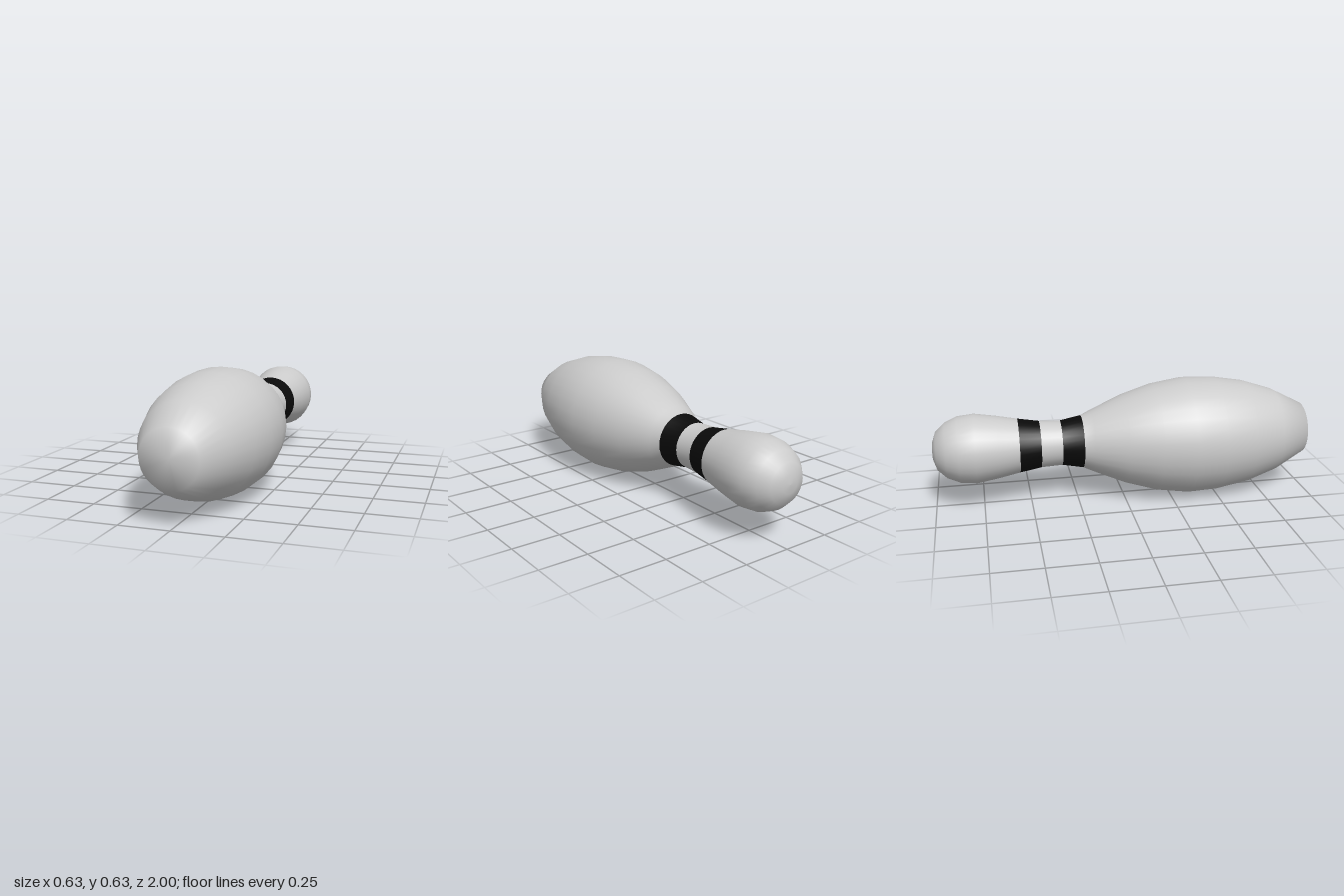
import * as THREE from 'three';

export function createModel() {
  const group = new THREE.Group();

  // Profile from base to head: [distance along axis, radius]
  const profile = [
    [-1, 0], [-1, 0.14], [-0.833, 0.226], [-0.667, 0.28], [-0.5, 0.308], [-0.34, 0.314],
    [-0.167, 0.288], [0, 0.237], [0.167, 0.165],
    [0.222, 0.139], [0.333, 0.118], [0.444, 0.123], [0.556, 0.142],
    [0.667, 0.164], [0.78, 0.182], [0.865, 0.173], [0.93, 0.145], [0.978, 0.1], [0.997, 0.045], [1, 0],
  ];
  const segments = 32;
  const lathe = new THREE.LatheGeometry(profile.map(([y, r]) => new THREE.Vector2(r, y)), segments);
  lathe.rotateX(-Math.PI / 2); // lay the pin down, head to the back
  lathe.translate(0, 0.315, 0);

  const grey = new THREE.MeshStandardMaterial({ color: 0xcccccc });
  const black = new THREE.MeshStandardMaterial({ color: 0x0a0a0a });

  // Keep the profile steps from..to of the shared smooth surface
  function addPart(name, from, to, material) {
    const all = lathe.index.array;
    const steps = profile.length - 1;
    const index = [];
    for (let i = 0; i < segments; i++) {
      const start = i * steps;
      index.push(...all.slice((start + from) * 6, (start + to) * 6));
    }
    const geometry = lathe.clone();
    geometry.setIndex(index);
    const mesh = new THREE.Mesh(geometry, material);
    mesh.name = name;
    group.add(mesh);
  }

  addPart('body', 0, 9, grey);
  addPart('lowerStripe', 9, 10, black);
  addPart('neck', 10, 11, grey);
  addPart('upperStripe', 11, 12, black);
  addPart('head', 12, profile.length - 1, grey);

  return group;
}
